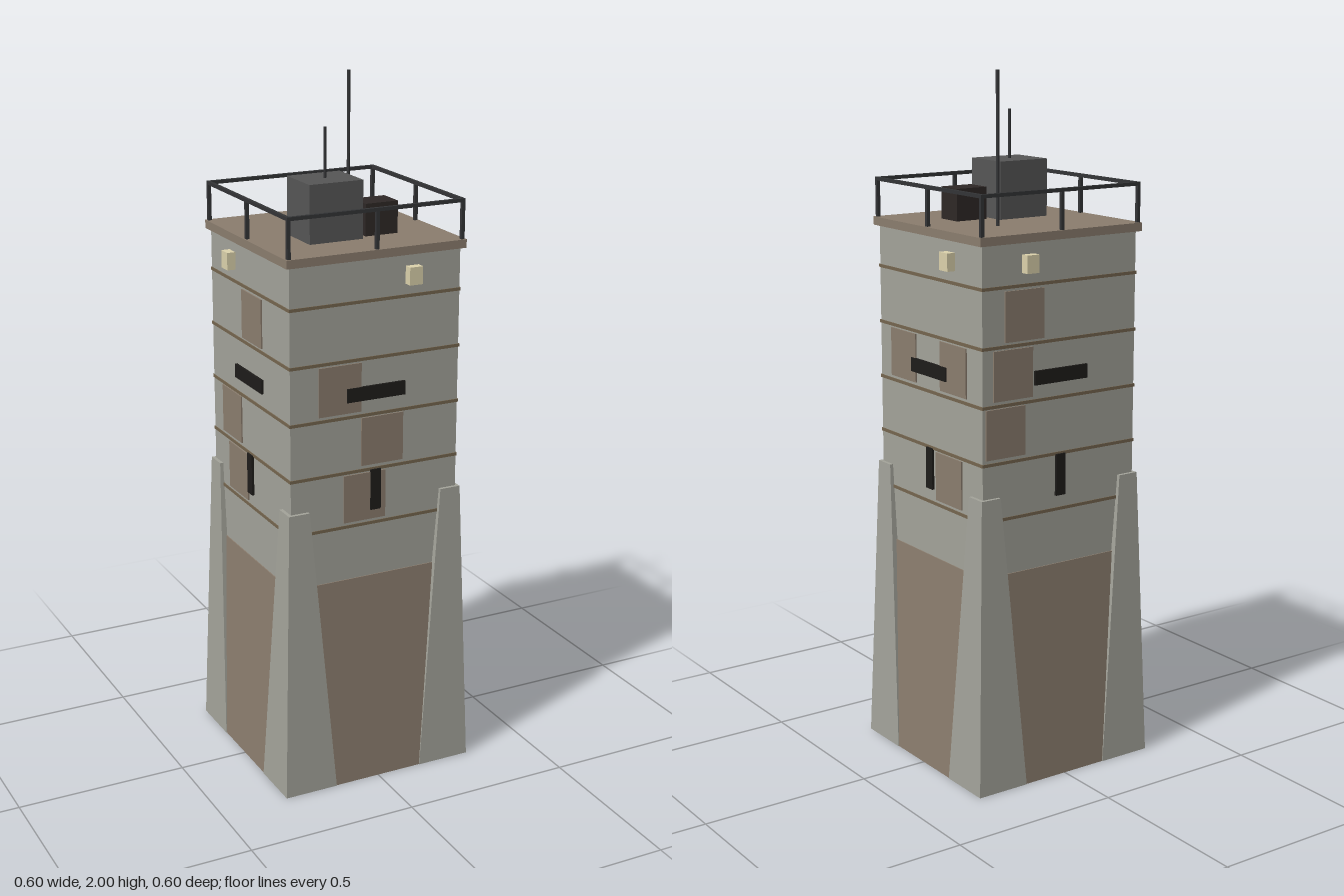
import * as THREE from 'three';

const mat = (color) => new THREE.MeshStandardMaterial({ color, flatShading: true });
const concrete = mat(0xa3a39a);
const brown = mat(0x8b7d6e);
const seam = mat(0x75664f);
const black = mat(0x1e1c1a);
const steel = mat(0x333436);
const cabinetGrey = mat(0x565656);
const cabinetDark = mat(0x2e2826);
const cream = mat(0xdcd2ac);

function box(parent, name, material, w, h, d, x, y, z) {
  const m = new THREE.Mesh(new THREE.BoxGeometry(w, h, d), material);
  m.position.set(x, y, z);
  m.name = name;
  parent.add(m);
  return m;
}

// Box whose square footprint changes from [min, max] at y0 to [min, max] at y1
function taperedBlock(y0, y1, bottom, top) {
  const g = new THREE.BoxGeometry(1, 1, 1);
  const p = g.attributes.position;
  for (let i = 0; i < p.count; i++) {
    const up = p.getY(i) > 0;
    const [lo, hi] = up ? top : bottom;
    p.setXYZ(i, p.getX(i) > 0 ? hi : lo, up ? y1 : y0, p.getZ(i) > 0 ? hi : lo);
  }
  g.computeVertexNormals();
  return g;
}

function mast(parent, name, r, y0, y1, x, z, sides) {
  const m = new THREE.Mesh(new THREE.CylinderGeometry(r, r, y1 - y0, sides), steel);
  m.position.set(x, (y0 + y1) / 2, z);
  m.name = name;
  parent.add(m);
}

export function createModel() {
  const tower = new THREE.Group();
  tower.name = 'watchtower';
  const H = 0.26; // half width of the shaft

  // Sloping plinth and shaft
  const plinth = new THREE.Mesh(taperedBlock(0, 0.63, [-0.296, 0.296], [-0.263, 0.263]), brown);
  plinth.name = 'plinth';
  tower.add(plinth);
  box(tower, 'shaft', concrete, 2 * H, 0.93, 2 * H, 0, 1.09, 0);

  // Corner buttresses
  const buttressGeo = taperedBlock(0, 0.855, [0.137, 0.298], [0.207, 0.27]);
  for (let i = 0; i < 4; i++) {
    const b = new THREE.Mesh(buttressGeo, concrete);
    b.rotation.y = (i * Math.PI) / 2;
    b.name = 'cornerButtress';
    tower.add(b);
  }

  // Horizontal seams around the shaft
  for (const y of [0.79, 0.951, 1.112, 1.274, 1.436]) {
    box(tower, 'seam', seam, 0.525, 0.009, 0.525, 0, y, 0);
  }

  // Facades: patches as [offset, height], lamp offset, all along the face's own right
  const faces = [
    { name: 'front', angle: 0, patches: [[-0.11, 1.195], [0.021, 1.035], [-0.033, 0.873]], lamp: 0.11 },
    { name: 'plusX', angle: Math.PI / 2, patches: [[-0.135, 1.195], [0.12, 1.195], [0.095, 0.873]], lamp: 0.11 },
    { name: 'back', angle: Math.PI, patches: [[-0.123, 1.355], [-0.16, 1.195], [-0.185, 1.035]], lamp: -0.11 },
    { name: 'minusX', angle: -Math.PI / 2, patches: [[0.02, 1.355], [-0.125, 1.035], [-0.085, 0.873]], lamp: -0.11 },
  ];
  for (const f of faces) {
    const g = new THREE.Group();
    g.name = f.name + 'Facade';
    g.rotation.y = f.angle;
    for (const [x, y] of f.patches) box(g, 'wallPatch', brown, 0.13, 0.14, 0.008, x, y, H);
    box(g, 'observationSlit', black, 0.18, 0.04, 0.014, 0, 1.176, H);
    box(g, 'firingSlit', black, 0.032, 0.12, 0.014, 0, 0.89, H);
    box(g, 'lamp', cream, 0.04, 0.05, 0.03, f.lamp, 1.495, H + 0.01);
    tower.add(g);
  }

  // Roof slab
  box(tower, 'roof', brown, 0.545, 0.024, 0.545, 0, 1.565, 0);

  // Railing: one side repeated four times
  const R = 0.263;
  for (let i = 0; i < 4; i++) {
    const side = new THREE.Group();
    side.name = 'railing';
    side.rotation.y = (i * Math.PI) / 2;
    box(side, 'topRail', steel, 2 * R + 0.01, 0.01, 0.01, 0, 1.685, R);
    box(side, 'cornerPost', steel, 0.01, 0.11, 0.01, R, 1.63, R);
    box(side, 'middlePost', steel, 0.01, 0.11, 0.01, 0, 1.63, R);
    tower.add(side);
  }

  // Roof equipment
  box(tower, 'largeCabinet', cabinetGrey, 0.162, 0.165, 0.142, -0.06, 1.658, 0.07);
  box(tower, 'smallCabinet', cabinetDark, 0.1, 0.092, 0.08, 0.09, 1.622, 0.08);
  mast(tower, 'shortAntenna', 0.004, 1.73, 1.88, -0.06, 0.07, 6);
  mast(tower, 'tallAntenna', 0.005, 1.57, 2, 0.1, -0.102, 8);

  return tower;
}
